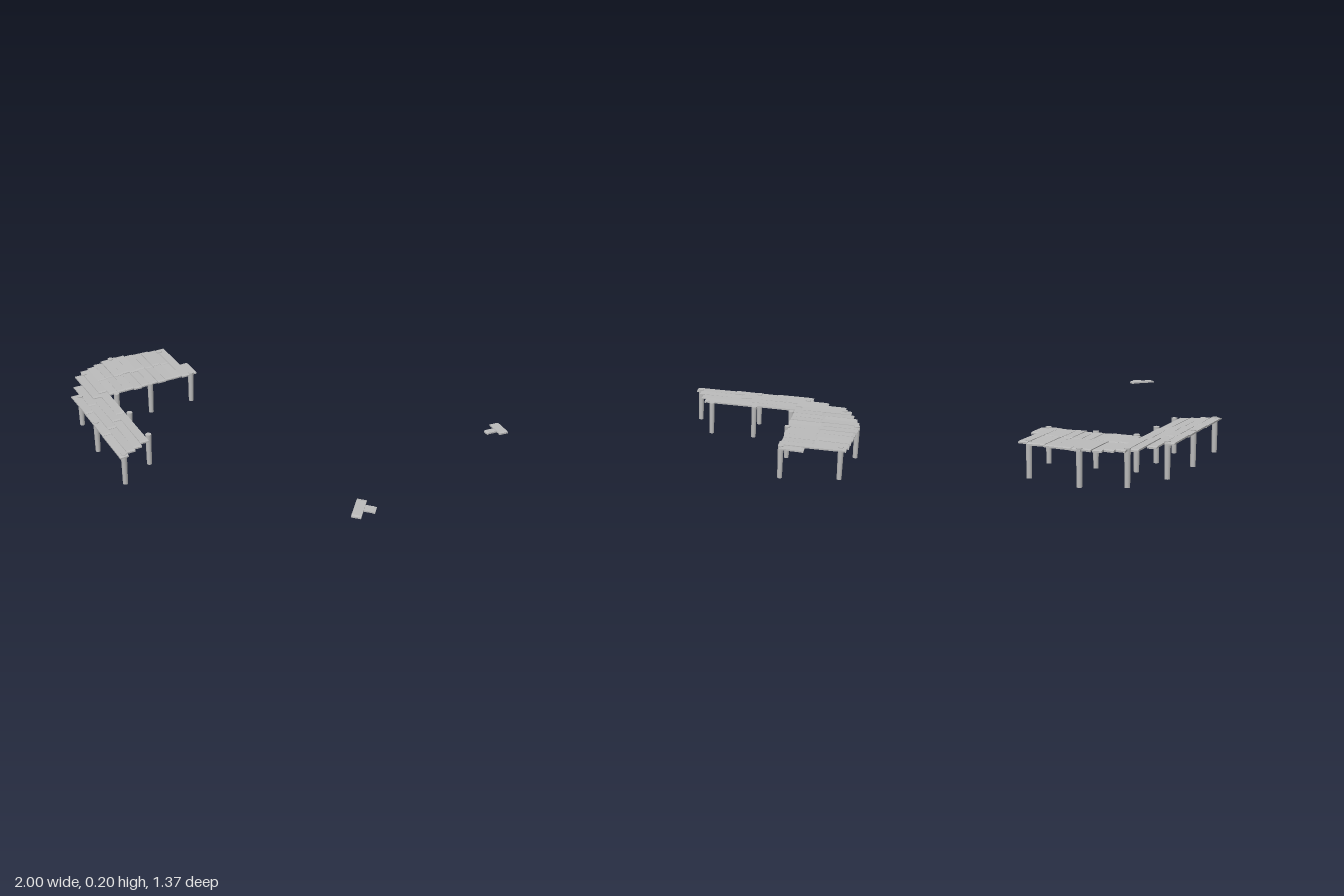
import * as THREE from 'three';

const wood = new THREE.MeshStandardMaterial({ color: 0xbababa });
wood.name = 'weatheredWood';

// small seeded generator for the uneven lay of the boards
function makeRandom(seed) {
  return () => {
    seed = (seed * 16807) % 2147483647;
    return seed / 2147483647 - 0.5;
  };
}

// thin board along local x, with worn, slightly dipped ends
function plank(name, length, width, thickness = 0.009) {
  const geo = new THREE.BoxGeometry(length, thickness, width, 4, 1, 1);
  const p = geo.attributes.position;
  const inner = length / 2 - 0.014;
  for (let i = 0; i < p.count; i++) {
    const x = p.getX(i);
    const s = Math.sign(x);
    if (Math.abs(x) > length * 0.49) p.setY(i, p.getY(i) - 0.003);
    else if (Math.abs(x) > length * 0.2) p.setX(i, s * inner);
  }
  const flat = geo.toNonIndexed();
  flat.computeVertexNormals();
  const mesh = new THREE.Mesh(flat, wood);
  mesh.name = name;
  return mesh;
}

export function createModel() {
  const model = new THREE.Group();
  model.name = 'brokenDock';
  const rand = makeRandom(4711);

  // deck: rows of boards laid diagonally; each row lists its board joints along the diagonal
  const rows = [
    [-0.69, -0.56],
    [-0.92, -0.55],
    [-0.93, -0.74, -0.56],
    [-0.935, -0.75, -0.56],
    [-0.94, -0.74, -0.555],
    [-0.945, -0.75, -0.565],
    [-0.955, -0.74, -0.56],
    [-0.96, -0.75, -0.555],
    [-0.95, -0.74, -0.56],
    [-0.935, -0.745, -0.56],
    [-0.91, -0.735, -0.56],
    [-0.89, -0.6, -0.33, 0.0],
    [-0.85, -0.56, -0.27, 0.03],
    [-0.74, -0.49, -0.21, 0.055],
    [-0.64, -0.42, -0.16, 0.085],
  ];
  const deck = new THREE.Group();
  deck.name = 'deck';
  rows.forEach((joints, k) => {
    const v = -0.085 + 0.0525 * k;
    for (let i = 0; i < joints.length - 1; i++) {
      const length = joints[i + 1] - joints[i] + 0.008;
      const u = (joints[i] + joints[i + 1]) / 2;
      const board = plank('deckPlank', length, 0.051);
      board.position.set((u - v) * Math.SQRT1_2, 0.191 + rand() * 0.004, (u + v) * Math.SQRT1_2);
      board.rotation.order = 'YXZ';
      board.rotation.set(rand() * 0.08, -Math.PI / 4 + rand() * 0.015, 0.012 + rand() * 0.02);
      deck.add(board);
    }
  });
  model.add(deck);

  // posts carrying both edges of the deck
  const posts = [
    [-0.62, -0.64], [-0.345, -0.45], [-0.88, -0.46], [-0.535, -0.25],
    [-0.965, -0.24], [-0.685, -0.08], [-0.88, 0.01], [-0.535, 0.095],
    [-0.68, 0.245], [-0.35, 0.28], [-0.41, 0.5],
  ];
  const postGeometry = new THREE.CylinderGeometry(0.017, 0.0145, 0.2, 10);
  for (const [x, z] of posts) {
    const post = new THREE.Mesh(postGeometry, wood);
    post.name = 'post';
    post.position.set(x, 0.1, z);
    model.add(post);
  }

  // loose boards lying apart from the deck
  const loose = new THREE.Group();
  loose.name = 'looseBoards';
  const longBoard = plank('looseLongBoard', 0.155, 0.052);
  longBoard.position.set(0.911, 0.191, 0.597);
  longBoard.rotation.y = -Math.PI / 2;
  const shortBoard = plank('looseShortBoard', 0.075, 0.05, 0.008);
  shortBoard.position.set(0.958, 0.189, 0.585);
  loose.add(longBoard, shortBoard);
  model.add(loose);

  return model;
}
